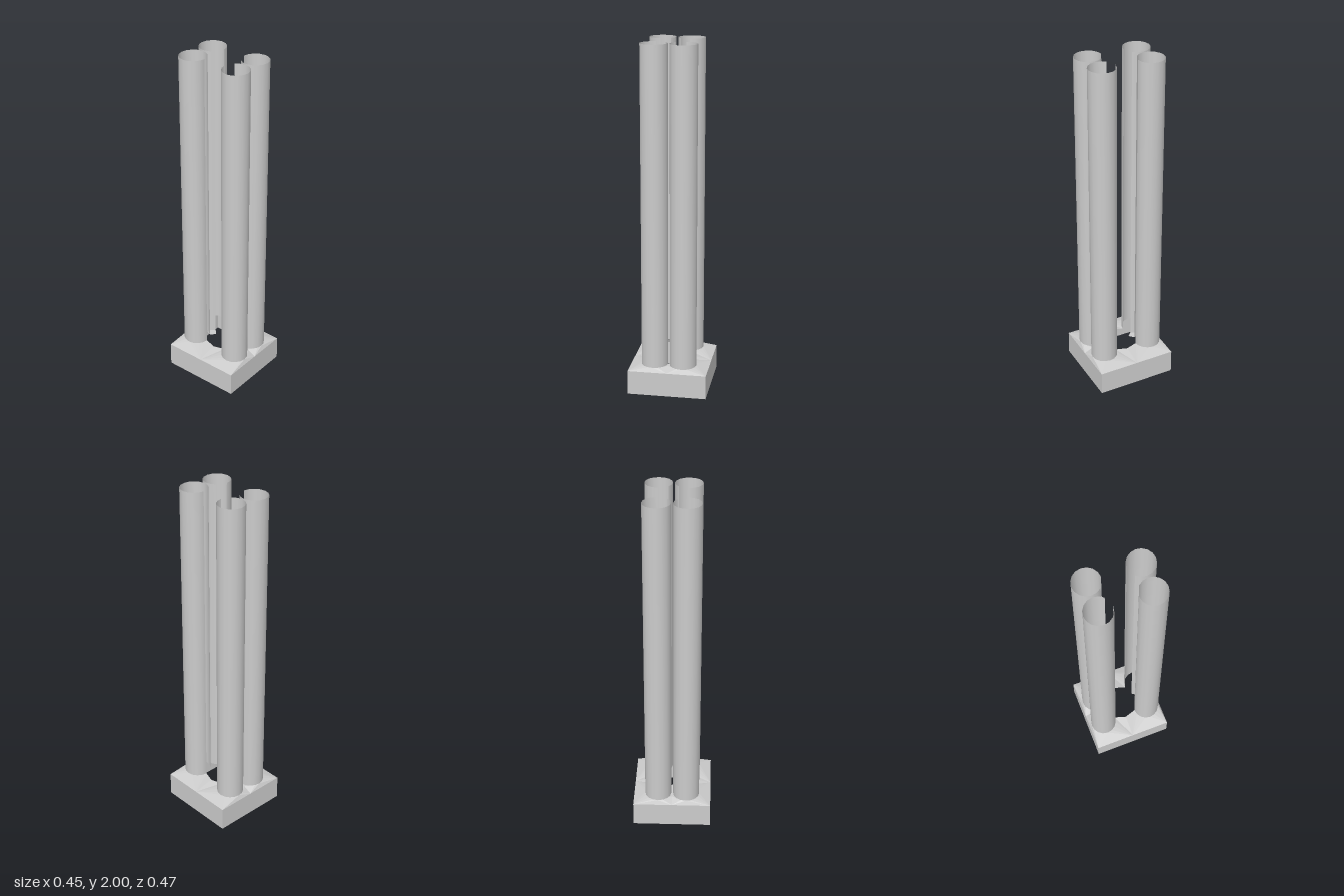
import * as THREE from 'three';

const BASE_X = 0.226, BASE_Z = 0.233;     // half size of the base
const WALL_TOP = 0.14, PLATE_TOP = 0.165; // heights of the outer rim and the hole rim
const TUBE = { x: 0.082, z: 0.1435, r: 0.077, sides: 16 };

const smooth = new THREE.MeshStandardMaterial({ color: 0xcccccc, side: THREE.DoubleSide });
const flat = new THREE.MeshStandardMaterial({ color: 0xcccccc, side: THREE.DoubleSide, flatShading: true });

// Non-indexed triangles
function triangleMesh(name, tris) {
  const geometry = new THREE.BufferGeometry().setFromPoints(tris.flat());
  geometry.computeVertexNormals();
  const mesh = new THREE.Mesh(geometry, flat);
  mesh.name = name;
  return mesh;
}

// One quarter of the sloping top plate, fitted around a tube
function plateQuarter(sx, sz) {
  const point = (x, z, y = PLATE_TOP) => new THREE.Vector3(sx * x, y, sz * z);
  const arc = (i) => { // i = 0 faces outward in x, 4 outward in z
    const a = i * 2 * Math.PI / TUBE.sides;
    return point(TUBE.x + TUBE.r * Math.cos(a), TUBE.z + TUBE.r * Math.sin(a));
  };
  const side = point(BASE_X, 0, WALL_TOP);
  const corner = point(BASE_X, BASE_Z, WALL_TOP);
  const middle = point(0, BASE_Z, WALL_TOP);
  const ridge = point(0, 0.18);
  const tris = [];
  const add = (a, b, c) => {
    const up = b.clone().sub(a).cross(c.clone().sub(a)).y > 0;
    tris.push(up ? [a, b, c] : [a, c, b]);
  };
  const fan = (hub, from, to) => {
    for (let i = from; i < to; i++) add(hub, arc(i), arc(i + 1));
  };
  add(side, point(0.103, 0), arc(-4));
  fan(side, -4, 0);
  add(side, corner, arc(0));
  fan(corner, 0, 4);
  add(corner, middle, arc(4));
  fan(middle, 4, 6);
  add(middle, ridge, arc(6));
  fan(ridge, 6, 8);
  const neck = point(0, TUBE.z);
  add(ridge, neck, arc(8));
  // the rear web runs on towards the centre
  if (sz < 0) {
    const tip = point(0, 0.062);
    add(neck, arc(8), arc(9));
    add(neck, arc(9), arc(10));
    add(neck, arc(10), tip);
  }
  return tris;
}

export function createModel() {
  const model = new THREE.Group();
  model.name = 'fourTubeStand';

  // Base walls, open underneath
  const corners = [[-1, 1], [1, 1], [1, -1], [-1, -1]];
  const walls = [];
  corners.forEach(([ax, az], i) => {
    const [bx, bz] = corners[(i + 1) % 4];
    const v = (x, z, y) => new THREE.Vector3(x * BASE_X, y, z * BASE_Z);
    walls.push([v(ax, az, 0), v(bx, bz, 0), v(bx, bz, WALL_TOP)]);
    walls.push([v(ax, az, 0), v(bx, bz, WALL_TOP), v(ax, az, WALL_TOP)]);
  });
  model.add(triangleMesh('baseWalls', walls));

  // Sloping top plate
  model.add(triangleMesh('basePlate', corners.flatMap(([sx, sz]) => plateQuarter(sx, sz))));

  // Open tubes, each with a slot of two faces towards the centre
  const tubes = [
    ['frontLeftTube', 1, 1, 225], ['frontRightTube', -1, 1, 180],
    ['backLeftTube', 1, -1, 0], ['backRightTube', -1, -1, 45],
  ];
  const height = 2 - PLATE_TOP;
  for (const [name, sx, sz, start] of tubes) {
    const geometry = new THREE.CylinderGeometry(TUBE.r, TUBE.r, height, TUBE.sides - 2, 1, true,
      THREE.MathUtils.degToRad(start), THREE.MathUtils.degToRad(315));
    const tube = new THREE.Mesh(geometry, smooth);
    tube.name = name;
    tube.position.set(sx * TUBE.x, PLATE_TOP + height / 2, sz * TUBE.z);
    model.add(tube);
  }
  return model;
}
